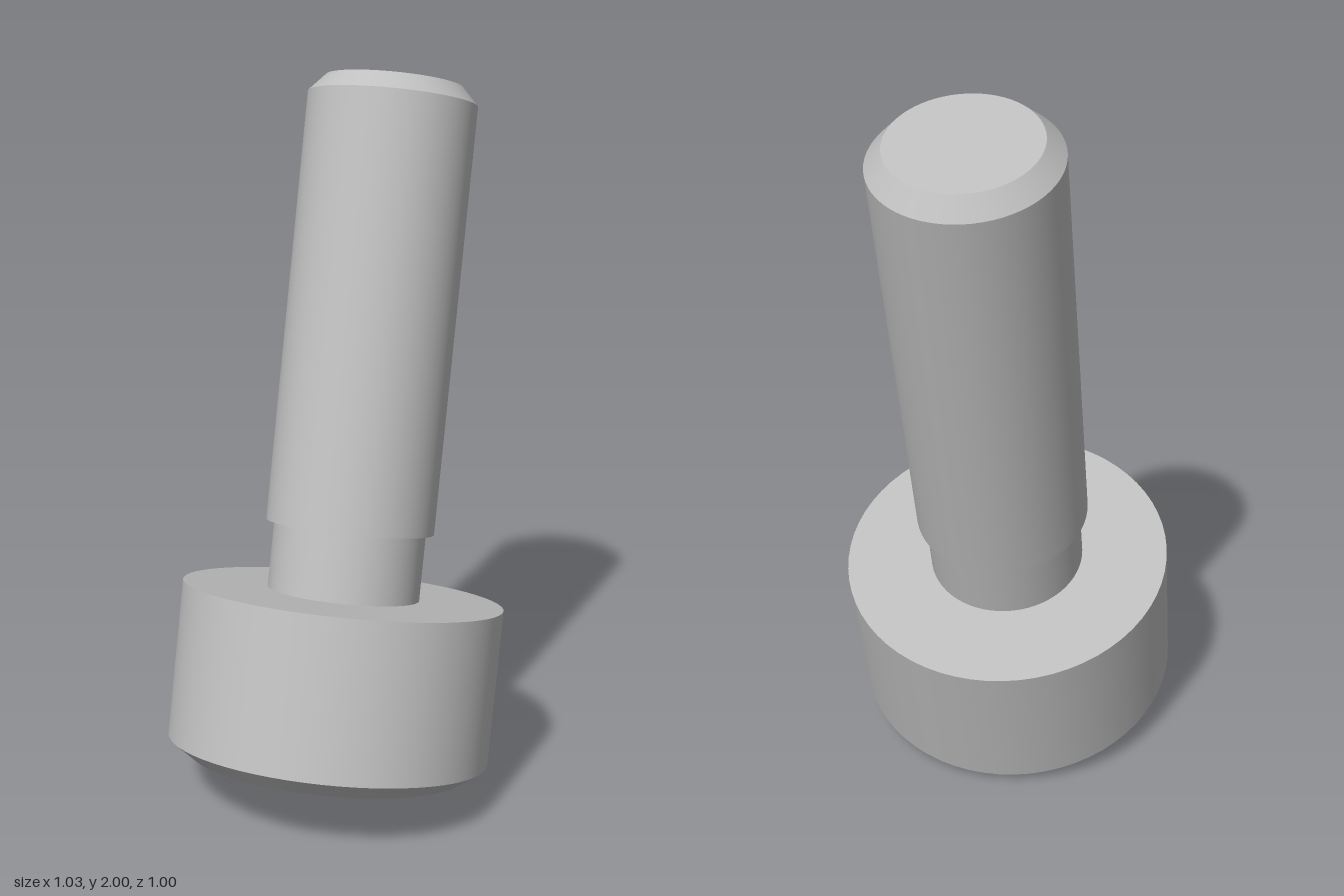
import * as THREE from 'three';

const steel = new THREE.MeshStandardMaterial({ color: 0xbfbfbf });
steel.name = 'steel grey';

const SEGMENTS = 64;
const HEX_RADIUS = 0.205;
const HEX_TURN = THREE.MathUtils.degToRad(23);

export function createModel() {
  const model = new THREE.Group();
  model.name = 'socketScrew';

  // The screw stands on its head, leaning to one side and backwards.
  // Local origin: centre of the seat under the head, shank along +y.
  const screw = new THREE.Group();
  screw.name = 'leaningScrew';
  const axis = new THREE.Vector3(0.1925, 0.965, -0.177).normalize();
  screw.quaternion.setFromUnitVectors(new THREE.Vector3(0, 1, 0), axis);
  screw.position.set(0.0125, 0.567, -0.0225);
  model.add(screw);

  const add = (name, geometry) => {
    const mesh = new THREE.Mesh(geometry, steel);
    mesh.name = name;
    screw.add(mesh);
  };
  // One turned surface; separate bands keep the edges between them sharp
  const band = (name, r0, y0, r1, y1) =>
    add(name, new THREE.LatheGeometry([new THREE.Vector2(r0, y0), new THREE.Vector2(r1, y1)], SEGMENTS));

  const headR = 0.452, faceR = 0.392, neckR = 0.214, shankR = 0.2365, tipR = 0.191;
  const faceY = -0.481, rimY = -0.438, neckY = 0.19, shankY = 1.382, tipY = 1.431;

  // Head, neck and shank
  band('headChamfer', faceR, faceY, headR, rimY);
  band('headSide', headR, rimY, headR, 0);
  band('headSeat', headR, 0, neckR, 0);
  band('neck', neckR, 0, neckR, neckY);
  band('shankStep', neckR, neckY, shankR, neckY);
  band('shank', shankR, neckY, shankR, shankY);
  band('tipChamfer', shankR, shankY, tipR, tipY);
  band('tipFace', tipR, tipY, 0, tipY);

  // Head face with hexagonal opening
  const face = new THREE.Shape().absarc(0, 0, faceR, 0, Math.PI * 2);
  const hex = [];
  for (let i = 0; i < 6; i++) {
    const a = HEX_TURN + (i * Math.PI) / 3;
    hex.push(new THREE.Vector2(Math.cos(a) * HEX_RADIUS, Math.sin(a) * HEX_RADIUS));
  }
  face.holes.push(new THREE.Path(hex));
  const faceGeometry = new THREE.ShapeGeometry(face, SEGMENTS);
  faceGeometry.rotateX(Math.PI / 2).translate(0, faceY, 0);
  add('headFace', faceGeometry);

  // Hexagonal socket: walls facing inwards and a flat floor
  const depth = 0.24;
  const walls = new THREE.CylinderGeometry(HEX_RADIUS, HEX_RADIUS, depth, 6, 1, true).toNonIndexed();
  walls.scale(-1, 1, 1);
  walls.rotateY(Math.PI / 6 - HEX_TURN);
  walls.translate(0, faceY + depth / 2, 0);
  walls.computeVertexNormals();
  add('socketWalls', walls);

  const floor = new THREE.CircleGeometry(HEX_RADIUS, 6);
  floor.rotateZ(HEX_TURN).rotateX(Math.PI / 2).translate(0, faceY + depth, 0);
  add('socketFloor', floor);

  return model;
}
